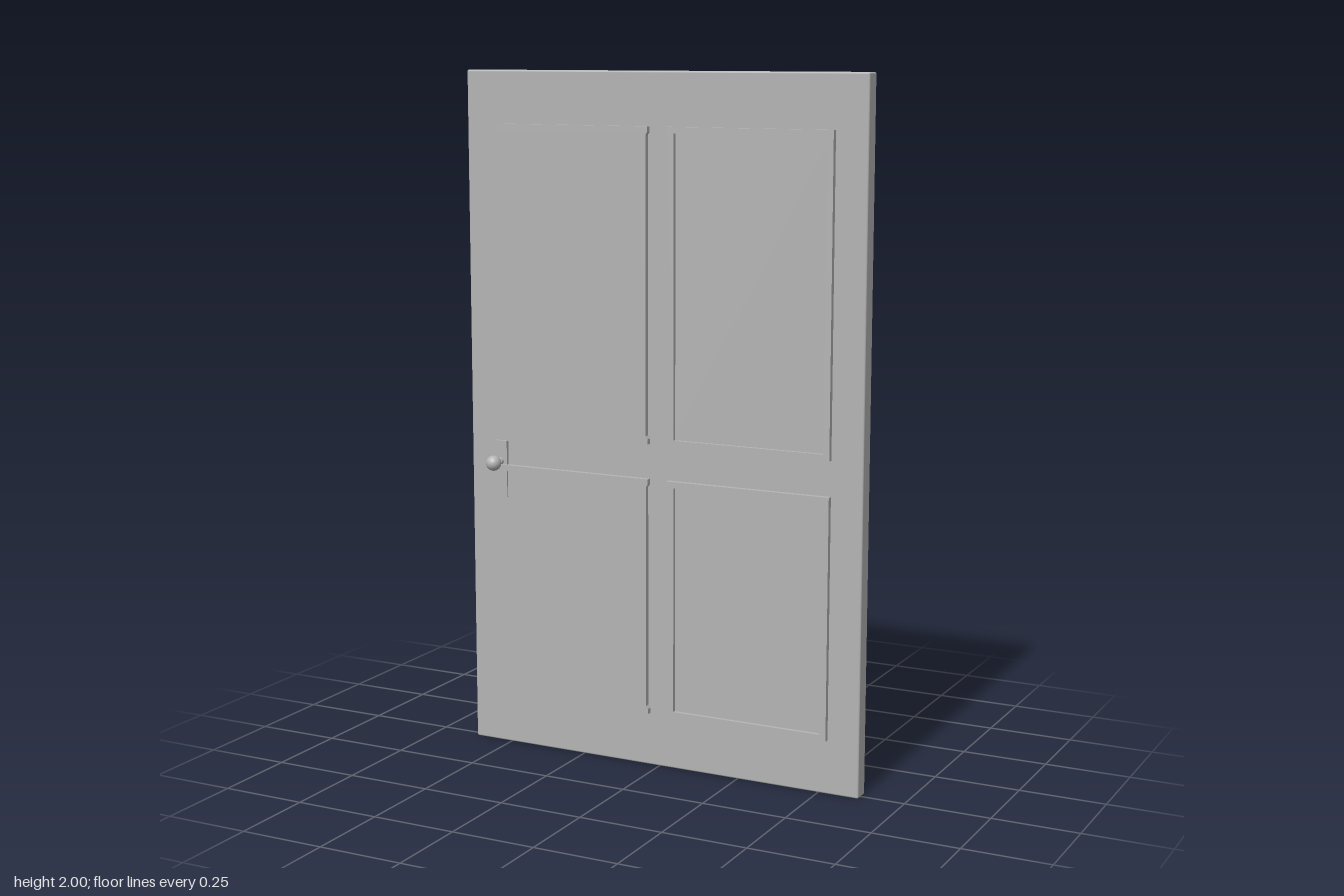
import * as THREE from 'three';
import { RoundedBoxGeometry } from 'three/addons/geometries/RoundedBoxGeometry.js';

const grey = new THREE.MeshStandardMaterial({ color: 0xb4b4b4 });
grey.name = 'plain grey';

const HALF = 0.025; // half the thickness of the door slab
const KNOB_X = -0.52, KNOB_Y = 0.862;

function add(parent, name, geometry, x = 0, y = 0, z = 0) {
  const mesh = new THREE.Mesh(geometry, grey);
  mesh.name = name;
  mesh.position.set(x, y, z);
  parent.add(mesh);
  return mesh;
}

// Moulding outline: its inner stile steps back slightly between the two rails
function mouldingGeometry(side, y0, y1) {
  const outer = 0.528, tip = 0.029, stile = 0.035, w = 0.018;
  const points = [
    [outer, y0], [outer, y1], [tip, y1], [tip, y1 - 0.015], [stile, y1 - 0.024],
    [stile, y0 + 0.024], [tip, y0 + 0.015], [tip, y0],
  ];
  const shape = new THREE.Shape(points.map(([x, y]) => new THREE.Vector2(side * x, y)));
  const hole = [
    [outer - w, y0 + w], [outer - w, y1 - w], [stile + w, y1 - w], [stile + w, y0 + w],
  ];
  shape.holes.push(new THREE.Path(hole.map(([x, y]) => new THREE.Vector2(side * x, y))));
  return new THREE.ExtrudeGeometry(shape, { depth: 0.017, bevelEnabled: false });
}

// Everything mounted on one face of the door
function doorFace(name, mirrorX) {
  const face = new THREE.Group();
  face.name = name;
  for (const side of [-1, 1]) {
    for (const [row, y0, y1] of [['lower', 0.157, 0.852], ['upper', 0.953, 1.848]]) {
      add(face, row + 'Moulding', mouldingGeometry(side, y0, y1), 0, 0, HALF - 0.002);
      // Shallow panel inside the moulding
      add(face, row + 'Panel', new THREE.BoxGeometry(0.48, y1 - y0 - 0.02, 0.008),
        side * 0.2805, (y0 + y1) / 2, HALF);
    }
  }

  // Lock plate and knob
  const x = KNOB_X * mirrorX;
  add(face, 'lockPlate', new THREE.BoxGeometry(0.042, 0.168, 0.012), x, 0.839, HALF + 0.003);
  const collar = add(face, 'knobCollar', new THREE.CylinderGeometry(0.009, 0.011, 0.012, 20),
    x, KNOB_Y, HALF + 0.012);
  const stem = add(face, 'knobStem', new THREE.CylinderGeometry(0.006, 0.006, 0.05, 16),
    x, KNOB_Y, HALF + 0.025);
  collar.rotation.x = stem.rotation.x = Math.PI / 2;
  add(face, 'knob', new THREE.SphereGeometry(0.0225, 28, 20), x, KNOB_Y, 0.0745);
  return face;
}

export function createModel() {
  const door = new THREE.Group();
  door.name = 'door';

  // Slab with softened edges
  add(door, 'slab', new RoundedBoxGeometry(1.244, 2, HALF * 2, 2, 0.005), 0, 1, 0);

  // Matching front and back; the knob stays on the same stile
  door.add(doorFace('frontFace', 1));
  const back = doorFace('backFace', -1);
  back.rotation.y = Math.PI;
  door.add(back);
  return door;
}
